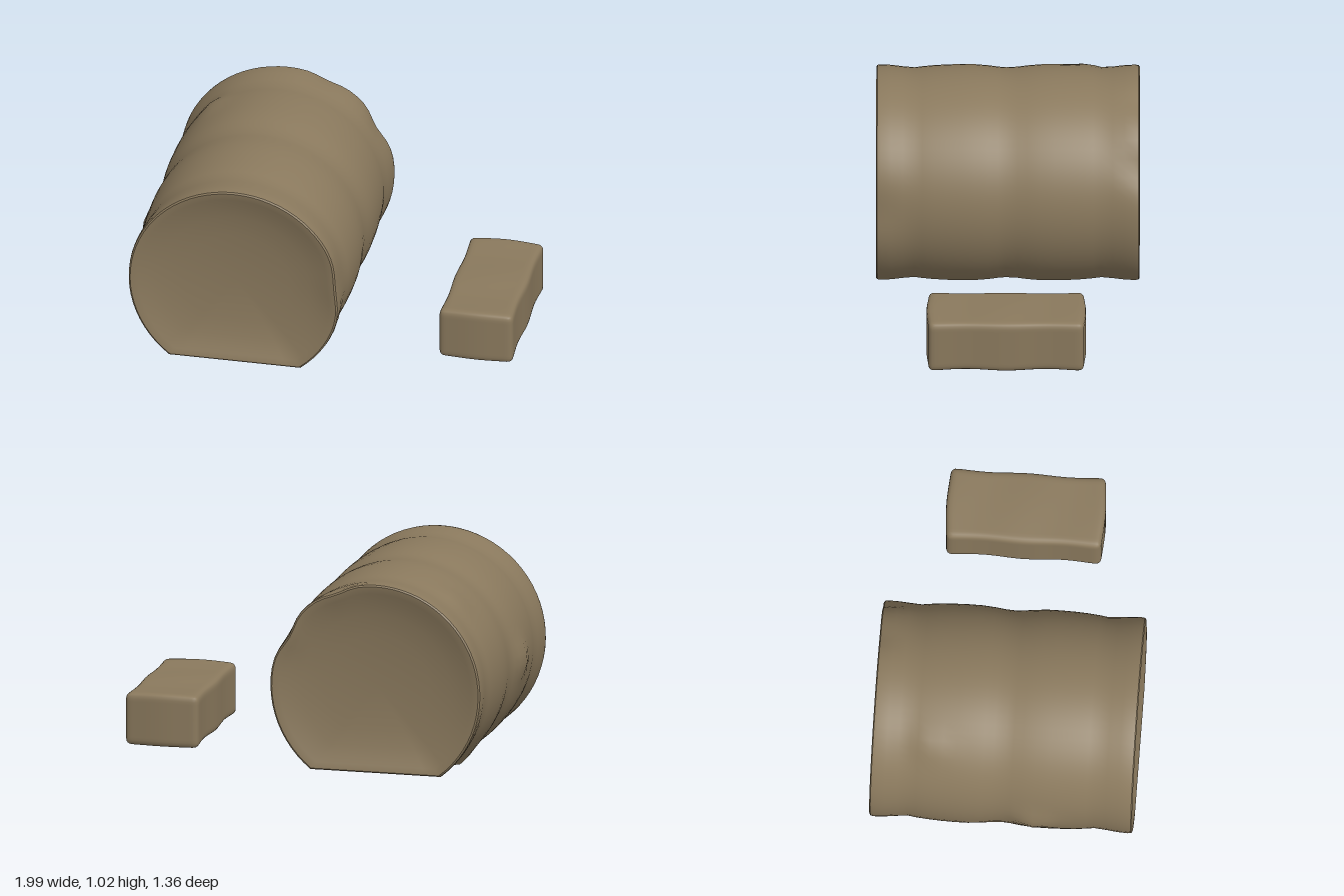
import * as THREE from 'three';
import { toCreasedNormals, mergeVertices } from 'three/addons/utils/BufferGeometryUtils.js';

const CENTER = new THREE.Vector3(-0.41, 0.455, 0);
const RADIUS = 0.56;
const FLAT = 0.667; // half angle of the flattened underside

// Half profile along the axis: [z, scale], dished end -> rim -> twine groove -> middle
const END = [
  [0.61, 0], [0.613, 0.25], [0.622, 0.5], [0.637, 0.7], [0.654, 0.83], [0.668, 0.91],
  [0.676, 0.955], [0.678, 0.98], [0.672, 0.995], [0.655, 1.0], [0.6, 0.995], [0.54, 0.982],
  [0.48, 0.973], [0.44, 0.983], [0.38, 0.993], [0.31, 1.0], [0.24, 1.003], [0.17, 1.002],
  [0.1, 0.992], [0.05, 0.98],
];

// Lumps and dents: [x, y, z, amount, spread]
const LUMPS = [
  [-0.97, 0.455, 0.17, 0.03, 0.09],
  [-0.76, 0.9, -0.4, 0.018, 0.09],
  [-0.76, 0.015, -0.29, 0.02, 0.09],
  [0.14, 0.5, 0.68, -0.025, 0.14],
  [0.08, 0.73, -0.68, -0.03, 0.1],
  [-0.2, 0.97, -0.68, -0.015, 0.08],
];

// Cross-section: circle with a flat bottom, counterclockwise
function baleSection() {
  const pts = [];
  for (let i = 0; i < 56; i++) {
    const a = -Math.PI / 2 + FLAT + (i / 56) * (2 * Math.PI - 2 * FLAT);
    pts.push([Math.cos(a) * RADIUS, Math.sin(a) * RADIUS]);
  }
  const w = Math.sin(FLAT) * RADIUS, y = -Math.cos(FLAT) * RADIUS;
  for (let i = 0; i < 10; i++) pts.push([-w + (i / 10) * 2 * w, y]);
  return pts;
}

function roundBaleGeometry() {
  const section = baleSection(), n = section.length;
  const rings = [...END, [0.01, 0.974], ...END.map(([z, s]) => [-z, s]).reverse()];
  const pos = [], index = [];
  const v = new THREE.Vector3(), c = new THREE.Vector3();
  for (const [z, s] of rings) {
    for (const [x, y] of section) {
      v.set(CENTER.x + x * s, CENTER.y + y * s, z);
      const out = c.set(x, y, 0).normalize().clone();
      let push = 0;
      for (const [lx, ly, lz, amount, spread] of LUMPS) {
        const d = v.distanceTo(c.set(lx, ly, lz));
        push += amount * Math.exp(-((d / spread) ** 2));
      }
      v.addScaledVector(out, push);
      pos.push(v.x, Math.max(v.y, 0), v.z);
    }
  }
  for (let i = 0; i < rings.length - 1; i++) {
    for (let j = 0; j < n; j++) {
      const a = i * n + j, b = i * n + ((j + 1) % n);
      if (rings[i][1] > 0) index.push(a, a + n, b);
      if (rings[i + 1][1] > 0) index.push(b, a + n, b + n);
    }
  }
  const geo = new THREE.BufferGeometry();
  geo.setAttribute('position', new THREE.Float32BufferAttribute(pos, 3));
  geo.setIndex(index);
  return toCreasedNormals(geo, 0.6);
}

// Soft box with rounded edges and slightly wavy sides
function squareBaleGeometry() {
  const half = new THREE.Vector3(0.19, 0.135, 0.405), r = 0.028;
  let geo = new THREE.BoxGeometry(half.x * 2, half.y * 2, half.z * 2, 24, 18, 44);
  geo.deleteAttribute('uv');
  geo.deleteAttribute('normal');
  geo = mergeVertices(geo);
  const p = geo.attributes.position;
  const v = new THREE.Vector3(), core = new THREE.Vector3();
  const inner = half.clone().subScalar(r), outer = inner.clone().negate();
  for (let i = 0; i < p.count; i++) {
    v.fromBufferAttribute(p, i);
    core.copy(v).clamp(outer, inner);
    v.sub(core).setLength(r).add(core);
    const wave = Math.cos(v.z * 15);
    v.x *= 1 + 0.02 * wave;
    v.y += v.y > 0 ? 0.007 * Math.cos(v.x * 8) * (0.5 + 0.5 * wave) : -0.003 * wave;
    v.z += Math.sign(v.z) * 0.006 * Math.cos(v.x * 14) * (Math.abs(v.z) / half.z);
    p.setXYZ(i, v.x, v.y, v.z);
  }
  geo.computeVertexNormals();
  return geo;
}

export function createModel() {
  const group = new THREE.Group();
  group.name = 'hayBales';
  const hay = new THREE.MeshStandardMaterial({ color: 0x8a795d });
  hay.name = 'dryHay';

  const roundBale = new THREE.Mesh(roundBaleGeometry(), hay);
  roundBale.name = 'roundBale';

  const squareBale = new THREE.Mesh(squareBaleGeometry(), hay);
  squareBale.name = 'squareBale';
  squareBale.position.set(0.8, 0.152, 0.006);

  group.add(roundBale, squareBale);
  return group;
}
